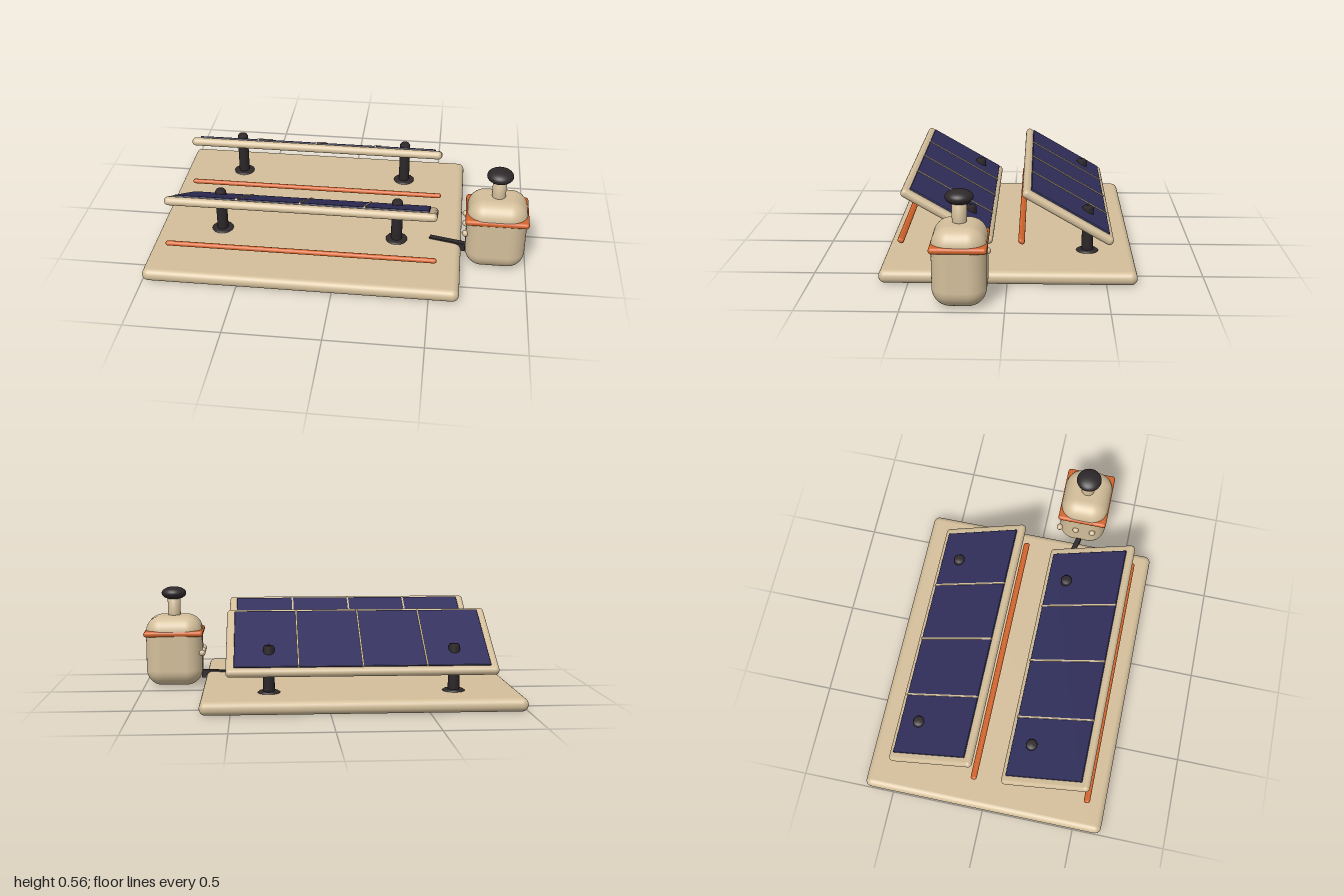
import * as THREE from 'three';
import { RoundedBoxGeometry } from 'three/addons/geometries/RoundedBoxGeometry.js';

const mat = (name, color) => {
  const m = new THREE.MeshStandardMaterial({ color });
  m.name = name;
  return m;
};

export function createModel() {
  const beige = mat('beige', 0xd3be9a);
  const navy = mat('navy', 0x312f5c);
  const orange = mat('orange', 0xd4652c);
  const dark = mat('dark', 0x2e282a);

  const add = (parent, name, geometry, material, x = 0, y = 0, z = 0) => {
    const mesh = new THREE.Mesh(geometry, material);
    mesh.name = name;
    mesh.position.set(x, y, z);
    parent.add(mesh);
    return mesh;
  };
  const rounded = (w, h, d, r, seg = 4) => new RoundedBoxGeometry(w, h, d, seg, r);
  const lathe = (pts) => new THREE.LatheGeometry(pts.map(([r, y]) => new THREE.Vector2(r, y)), 32);

  const model = new THREE.Group();
  model.name = 'solarArray';
  const tilt = -Math.PI / 6;

  // Ground slab
  add(model, 'baseSlab', rounded(1.655, 0.07, 1.305, 0.034), beige, -0.1725, 0.035, -0.0025);

  // Two identical rows of tilted panels
  for (const [rowName, dz] of [['rearRow', 0], ['frontRow', 0.615]]) {
    const row = new THREE.Group();
    row.name = rowName;
    row.position.z = dz;
    model.add(row);

    const panel = new THREE.Group();
    panel.name = 'panel';
    panel.position.set(-0.173, 0.314, -0.306);
    panel.rotation.x = tilt;
    row.add(panel);
    add(panel, 'panelFrame', rounded(1.395, 0.045, 0.53, 0.021), beige);
    add(panel, 'solarCells', rounded(1.312, 0.016, 0.462, 0.004, 2), navy, 0, 0.023, 0);
    for (const i of [-1, 0, 1]) {
      add(panel, 'cellDivider', new THREE.BoxGeometry(0.009, 0.012, 0.466), beige, i * 0.328, 0.03, 0);
    }

    // Posts with foot flanges and caps reaching through the panel
    for (const x of [-0.655, 0.305]) {
      add(row, 'post', lathe([[0, 0], [0.03, 0], [0.03, 0.235], [0.024, 0.245], [0, 0.245]]),
        dark, x, 0.07, -0.414);
      add(row, 'postFlange', lathe([[0.058, 0], [0.058, 0.004], [0.05, 0.01], [0, 0.01]]),
        dark, x, 0.069, -0.414);
    }

    // Rail in front of the panel
    add(row, 'rail', rounded(1.41, 0.026, 0.034, 0.0125), orange, -0.173, 0.189, -0.07).rotation.x = tilt;
  }

  // Storage tank
  const tank = new THREE.Group();
  tank.name = 'tank';
  tank.position.set(0.833, 0, 0.219);
  model.add(tank);
  add(tank, 'tankBody', rounded(0.315, 0.395, 0.265, 0.09, 8), beige, 0, 0.1975, 0);
  add(tank, 'tankBand', rounded(0.33, 0.032, 0.275, 0.015), orange, 0, 0.3, 0);
  add(tank, 'tankNeck', lathe([[0, 0], [0.03, 0], [0.036, 0.01], [0.036, 0.105], [0, 0.105]]), beige, 0, 0.39, 0);
  add(tank, 'tankCap', new THREE.SphereGeometry(0.069, 32, 20), dark, 0, 0.519, 0).scale.y = 0.53;
  for (const z of [-0.124, -0.03, 0.066]) {
    add(tank, 'sideKnob', new THREE.SphereGeometry(0.018, 16, 12), beige, -0.16, 0.193, z);
  }

  // Cable duct from slab to tank
  add(model, 'duct', new THREE.BoxGeometry(0.2, 0.046, 0.028), dark, 0.582, 0.056, 0.19).rotation.y = -0.23;

  return model;
}
